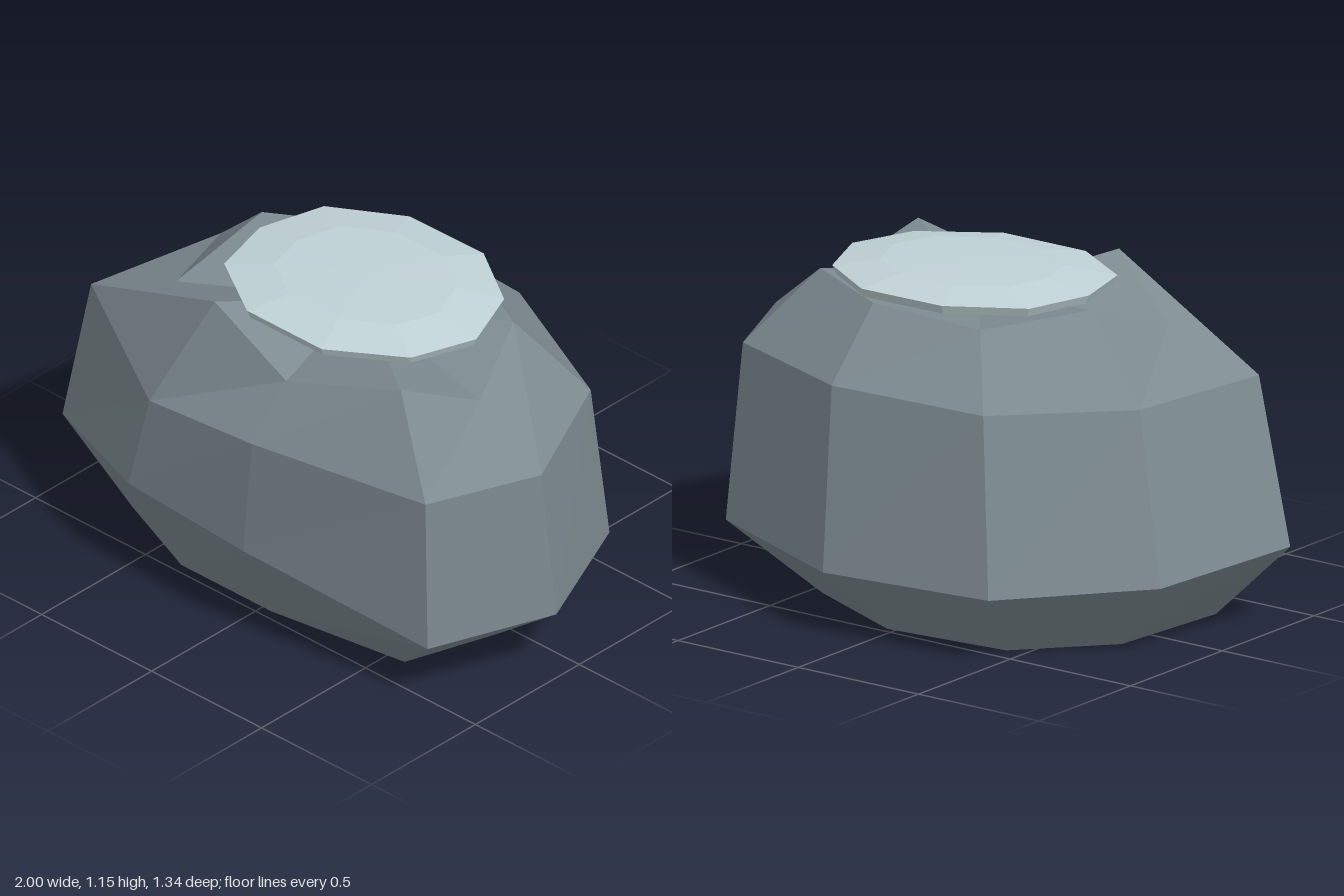
import * as THREE from 'three';

// Faceted solid lofted through closed rings of [x, y, z], with a centre point at each end.
function loft(rings, bottom, top) {
  const pos = [];
  const tri = (a, b, c) => pos.push(...a, ...b, ...c);
  const n = rings[0].length;
  for (let i = 0; i < n; i++) {
    const j = (i + 1) % n;
    tri(bottom, rings[0][j], rings[0][i]);
    for (let r = 0; r + 1 < rings.length; r++) {
      const a = rings[r], b = rings[r + 1];
      tri(a[i], a[j], b[j]);
      tri(a[i], b[j], b[i]);
    }
    const last = rings[rings.length - 1];
    tri(last[i], last[j], top);
  }
  const g = new THREE.BufferGeometry();
  g.setAttribute('position', new THREE.Float32BufferAttribute(pos, 3));
  g.computeVertexNormals();
  return g;
}

export function createModel() {
  const stone = new THREE.MeshStandardMaterial({ color: 0x7d8b91, flatShading: true });
  stone.name = 'stone grey';
  const pale = new THREE.MeshStandardMaterial({ color: 0xc0d2d6, flatShading: true });
  pale.name = 'pale snow';

  // Boulder: rings run from the front right corner round the front, left and back
  const foot = [
    [-0.73, 0, 0.32], [-0.37, 0, 0.465], [0.04, 0, 0.465], [0.57, 0, 0.385], [0.67, 0, 0.07],
    [0.45, 0, -0.28], [0.03, 0, -0.475], [-0.43, 0, -0.43], [-0.69, 0, -0.14],
  ];
  const belly = [
    [-1, 0.27, 0.37], [-0.44, 0.375, 0.645], [0.1, 0.36, 0.665], [0.83, 0.245, 0.55], [1, 0.25, 0.11],
    [0.76, 0.225, -0.4], [0.15, 0.22, -0.67], [-0.5, 0.23, -0.62], [-0.91, 0.25, -0.22],
  ];
  const shoulder = [
    [-0.87, 0.84, 0.37], [-0.35, 0.74, 0.64], [0.14, 0.8, 0.665], [0.82, 0.81, 0.55], [0.97, 0.805, 0.15],
    [0.75, 0.82, -0.32], [0.19, 0.835, -0.57], [-0.41, 0.83, -0.53], [-0.78, 0.83, -0.16],
  ];
  const crown = [
    [-0.54, 0.97, 0.31], [-0.2, 1.125, 0.485], [0.14, 0.97, 0.5], [0.59, 1.1, 0.425], [0.69, 0.975, 0.15],
    [0.55, 1.075, -0.16], [0.2, 1.06, -0.33], [-0.23, 1.04, -0.31], [-0.49, 1.095, -0.05],
  ];
  const boulder = new THREE.Mesh(
    loft([foot, belly, shoulder, crown], [0, 0, 0], [0.05, 1.04, 0.05]), stone);
  boulder.name = 'boulder';

  // Thin domed cap resting on the crown
  const outline = [
    [-0.35, 0.28], [-0.1, 0.435], [0.24, 0.435], [0.49, 0.27], [0.57, 0.04],
    [0.47, -0.2], [0.23, -0.355], [-0.1, -0.35], [-0.35, -0.2], [-0.415, 0.04],
  ];
  const cx = 0.08, cz = 0.04;
  const ring = (s, y) => outline.map(([x, z]) => [cx + (x - cx) * s, y, cz + (z - cz) * s]);
  const cap = new THREE.Mesh(
    loft([ring(0.8, 1.06), ring(0.97, 1.08), ring(1, 1.11), ring(0.65, 1.138)],
      [cx, 1.05, cz], [cx, 1.147, cz]), pale);
  cap.name = 'snowCap';

  const group = new THREE.Group();
  group.name = 'cappedBoulder';
  group.add(boulder, cap);
  return group;
}
